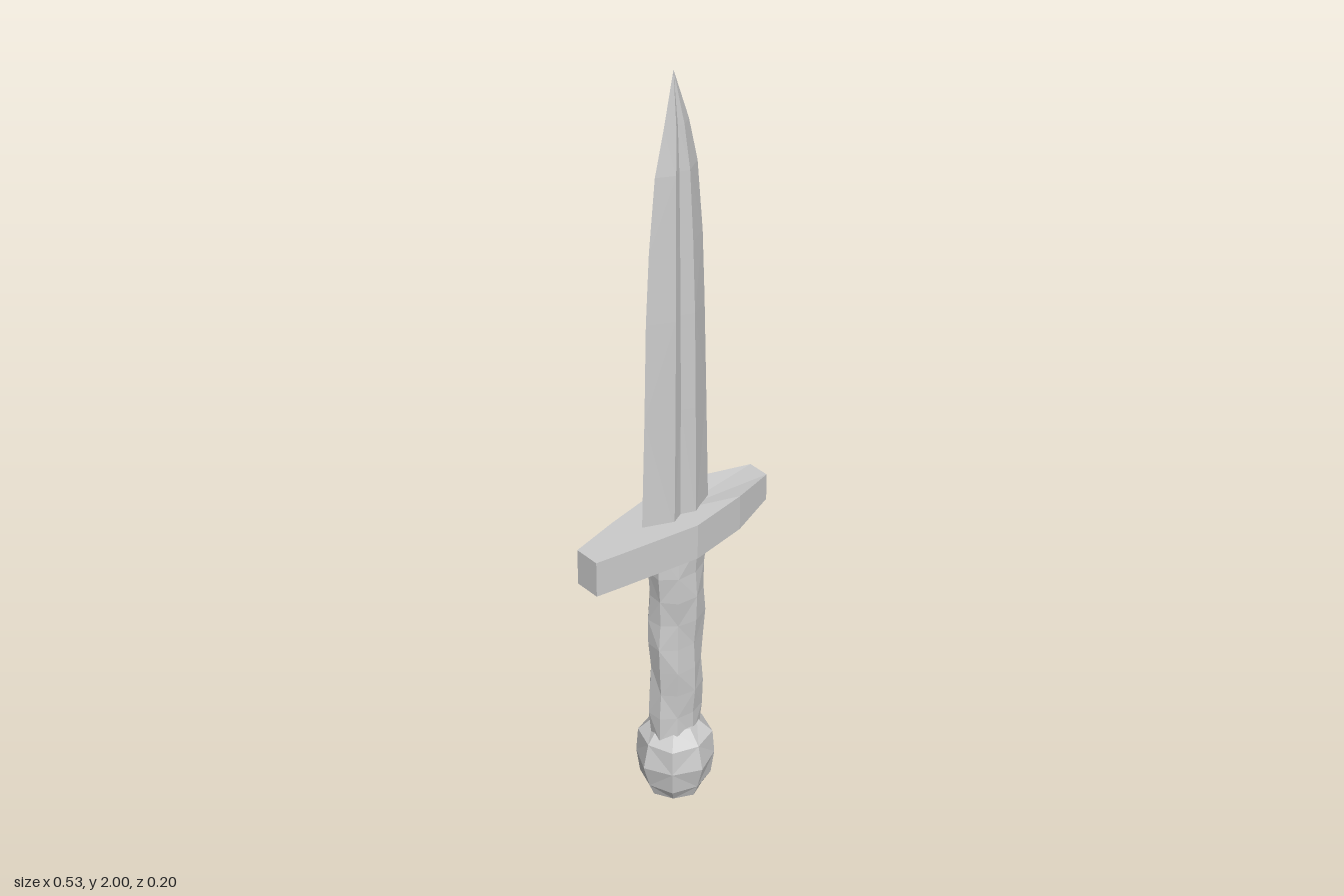
import * as THREE from 'three';

const material = new THREE.MeshStandardMaterial({ color: 0xcccccc, flatShading: true });

// Skins a stack of rings (counter-clockwise seen from above) and closes it with a bottom and a top point.
function loft(name, rings, bottom, top) {
  const n = rings[0].length;
  const positions = [...rings.flat(), bottom, top].flat();
  const index = [];
  const low = rings.length * n, high = low + 1, last = (rings.length - 1) * n;
  for (let j = 0; j < n; j++) {
    const k = (j + 1) % n;
    for (let i = 0; i < rings.length - 1; i++) {
      const a = i * n + j, b = i * n + k;
      // alternate the diagonals for a hand-cut look
      if ((i + j) % 2) index.push(a, b, b + n, a, b + n, a + n);
      else index.push(a, b, a + n, b, b + n, a + n);
    }
    index.push(low, k, j, high, last + j, last + k);
  }
  const indexed = new THREE.BufferGeometry();
  indexed.setAttribute('position', new THREE.Float32BufferAttribute(positions, 3));
  indexed.setIndex(index);
  const geometry = indexed.toNonIndexed();
  geometry.computeVertexNormals();
  const mesh = new THREE.Mesh(geometry, material);
  mesh.name = name;
  return mesh;
}

// Ring with n corners; warp(j) scales the radius of each corner.
function ring(n, y, rx, rz, warp = () => 1, cx = 0, cz = 0) {
  return Array.from({ length: n }, (_, j) => {
    const a = (j / n) * Math.PI * 2, s = warp(j);
    return [cx + Math.cos(a) * rx * s, y, cz - Math.sin(a) * rz * s];
  });
}

// Blade: flattened diamond with a fuller on each face, tapering to a point
function createBlade() {
  const section = [[1, 0], [0.42, -0.85], [0.05, -0.74], [-0.3, -1],
    [-1, 0], [-0.3, 0.95], [0, 0.55], [0.34, 0.98]];
  // height, left edge, right edge, half thickness
  const stations = [
    [0.84, 0.102, 0.102, 0.034], [1.15, 0.092, 0.094, 0.034], [1.4, 0.086, 0.087, 0.033],
    [1.58, 0.076, 0.08, 0.029], [1.76, 0.058, 0.064, 0.024], [1.87, 0.032, 0.039, 0.015],
  ];
  const rings = stations.map(([y, l, r, t]) =>
    section.map(([x, z]) => [x * (x < 0 ? l : r), y, z * t]));
  return loft('blade', rings, [0, 0.84, 0], [-0.005, 2, 0]);
}

// Crossguard: long tapered plate with blunt ends
function createGuard() {
  const outline = [[0.267, 0.023], [0.267, -0.033], [0.15, -0.06], [-0.02, -0.08],
    [-0.14, -0.06], [-0.267, -0.033], [-0.267, 0.033], [-0.2, 0.045], [0, 0.078], [0.15, 0.058]];
  const level = (y, drop) => outline.map(([x, z]) => [x, y + (x > 0.2 ? drop : 0), z]);
  return loft('crossguard', [level(0.765, 0.012), level(0.86, -0.012)], [0, 0.765, 0], [0, 0.86, 0]);
}

// Grip: oval handle with shallow spiralling dents
function createGrip() {
  const n = 9, rows = 9;
  const rings = [];
  for (let i = 0; i < rows; i++) {
    const t = i / (rows - 1);
    const warp = (j) => 1 + 0.06 * Math.sin(i * 1.9 + (j / n) * Math.PI * 4);
    rings.push(ring(n, 0.21 + t * 0.57, 0.068 + 0.007 * t, 0.053 + 0.006 * t, warp, 0, 0.004 * t));
  }
  return loft('grip', rings, [0, 0.21, 0], [0, 0.78, 0]);
}

// Pommel: faceted egg-shaped knob
function createPommel() {
  const profile = [[0.035, 0.07], [0.07, 0.088], [0.135, 0.102], [0.2, 0.092], [0.238, 0.056]];
  const rings = profile.map(([y, r], i) =>
    ring(8, y, r, r * 0.97, (j) => ((i + j) % 2 ? 0.95 : 1)));
  return loft('pommel', rings, [0, 0, 0], [0, 0.24, 0]);
}

export function createModel() {
  const dagger = new THREE.Group();
  dagger.name = 'dagger';
  dagger.add(createBlade(), createGuard(), createGrip(), createPommel());
  return dagger;
}
